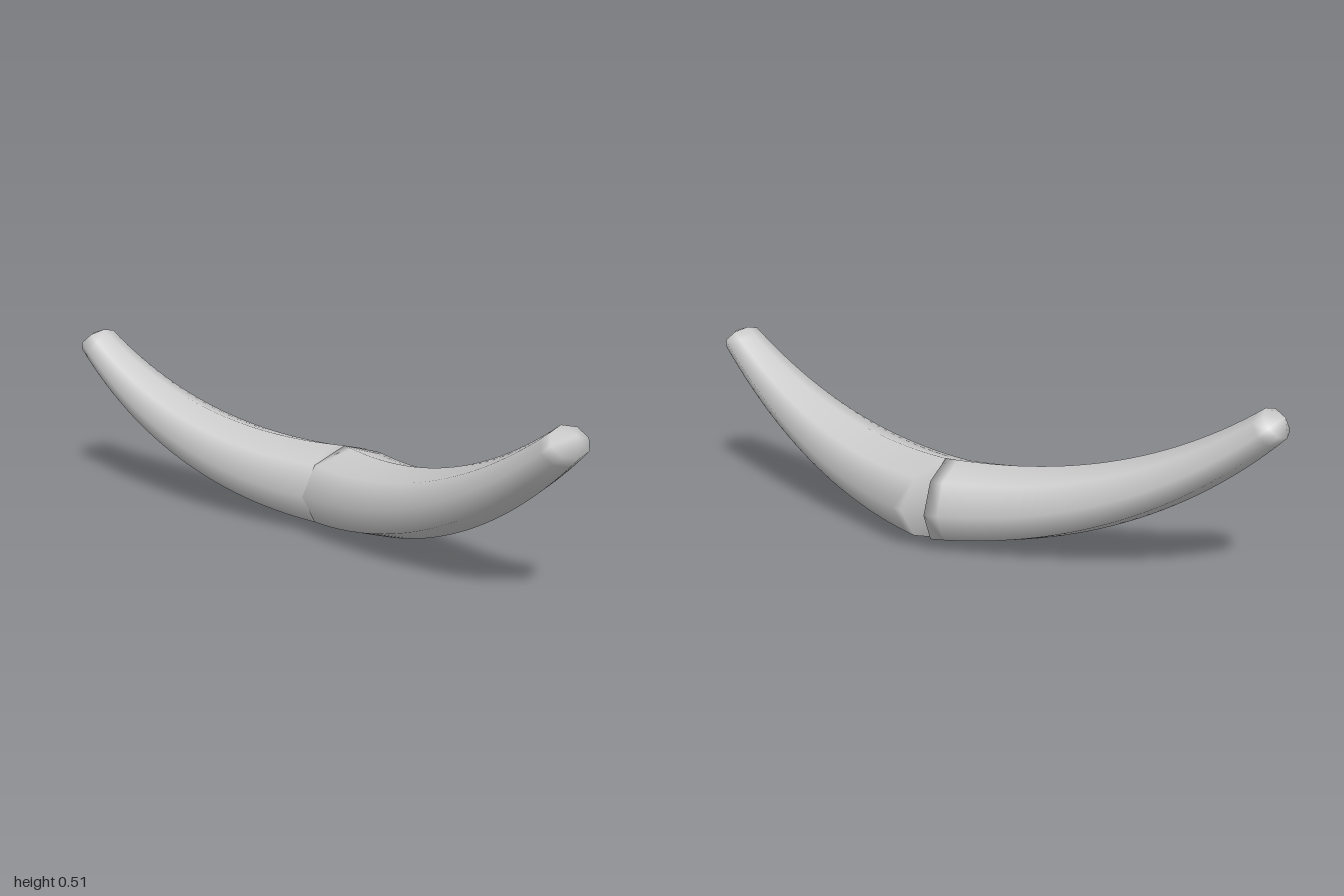
import * as THREE from 'three';

const SIDES = 8;
const RINGS = 28;

// One horn: an oval octagon swept along a bending curve, tapering to a blunt tip.
// side = +1 builds the left horn, -1 its mirror image.
function hornGeometry(side) {
  const curve = new THREE.QuadraticBezierCurve3(
    new THREE.Vector3(0, 0.127, -0.04),
    new THREE.Vector3(0.56, 0.127, 0.097),
    new THREE.Vector3(0.964, 0.47, 0.14)
  );
  const positions = [];
  const index = [];
  const addPoint = (p) => positions.push(p.x * side, p.y, p.z) / 3 - 1;
  const addFace = (a, b, c) => (side > 0 ? index.push(a, b, c) : index.push(a, c, b));

  for (let i = 0; i <= RINGS; i++) {
    const t = i / RINGS;
    const centre = curve.getPoint(t);
    const tangent = curve.getTangent(t);
    const across = new THREE.Vector3(-tangent.z, 0, tangent.x).normalize();
    const up = new THREE.Vector3().crossVectors(across, tangent);
    const scale = 1 - 0.6 * Math.pow(t, 1.15);
    for (let j = 0; j < SIDES; j++) {
      const a = (j / SIDES) * Math.PI * 2;
      addPoint(centre.clone()
        .addScaledVector(up, Math.cos(a) * 0.125 * scale)
        .addScaledVector(across, Math.sin(a) * 0.175 * scale));
    }
  }

  // Flat root and slightly pointed tip
  const root = addPoint(curve.getPoint(0));
  const tip = addPoint(curve.getPoint(1).addScaledVector(curve.getTangent(1), 0.03));
  const last = RINGS * SIDES;

  for (let j = 0; j < SIDES; j++) {
    const k = (j + 1) % SIDES;
    for (let i = 0; i < RINGS; i++) {
      const a = i * SIDES;
      const b = a + SIDES;
      addFace(a + j, a + k, b + j);
      addFace(a + k, b + k, b + j);
    }
    addFace(root, k, j);
    addFace(tip, last + j, last + k);
  }

  const geometry = new THREE.BufferGeometry();
  geometry.setAttribute('position', new THREE.Float32BufferAttribute(positions, 3));
  geometry.setIndex(index);
  geometry.computeVertexNormals();
  return geometry;
}

export function createModel() {
  const group = new THREE.Group();
  group.name = 'horns';
  const hornGrey = new THREE.MeshStandardMaterial({ color: 0xcccccc });
  hornGrey.name = 'hornGrey';

  for (const side of [1, -1]) {
    const horn = new THREE.Mesh(hornGeometry(side), hornGrey);
    horn.name = side > 0 ? 'leftHorn' : 'rightHorn';
    group.add(horn);
  }
  return group;
}
